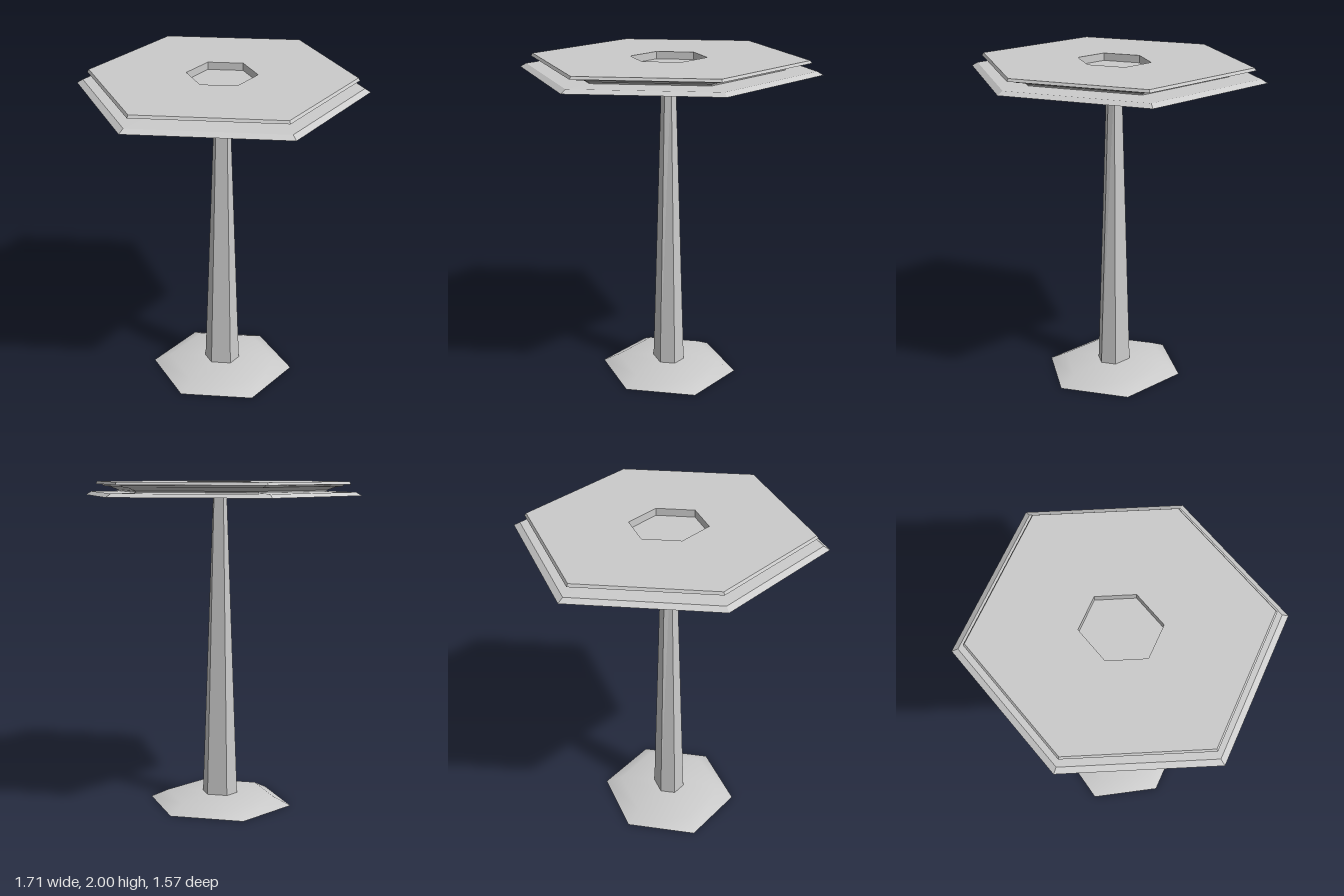
import * as THREE from 'three';

// Six-sided loft, bottom to top. Ring = [tip x, flat-edge corner x, flat-edge z, y]
function hexLoft(name, rings, flatShading) {
  const positions = [];
  const index = [];
  for (const [a, b, d, y] of rings) {
    positions.push(a, y, 0, b, y, -d, -b, y, -d, -a, y, 0, -b, y, d, b, y, d);
  }
  for (let r = 0; r < rings.length - 1; r++) {
    for (let i = 0; i < 6; i++) {
      const p = r * 6 + i;
      const q = r * 6 + ((i + 1) % 6);
      index.push(p, q, q + 6, p, q + 6, p + 6);
    }
  }
  const geometry = new THREE.BufferGeometry();
  geometry.setAttribute('position', new THREE.Float32BufferAttribute(positions, 3));
  geometry.setIndex(index);
  geometry.computeVertexNormals();
  const material = new THREE.MeshStandardMaterial({ color: 0xcccccc, flatShading, side: THREE.DoubleSide });
  const mesh = new THREE.Mesh(geometry, material);
  mesh.name = name;
  return mesh;
}

// Ring with the tabletop's proportions
const topRing = (a, y) => [a, a * 0.537, a * 0.918, y];

export function createModel() {
  const group = new THREE.Group();
  group.name = 'hexagonalTable';

  // Thin dished foot, open underneath
  group.add(hexLoft('base', [
    [0.45, 0.225, 0.365, 0],
    [0.34, 0.17, 0.275, 0.052],
    [0.11, 0.062, 0.08, 0.062],
  ], false));

  // Tapered hollow column
  group.add(hexLoft('column', [
    [0.11, 0.062, 0.08, 0.062],
    [0.043, 0.029, 0.034, 1.915],
  ], true));

  // Stepped tabletop with a recess in the middle
  group.add(hexLoft('tabletop', [
    topRing(0, 1.91),
    topRing(0.855, 1.917), // lower slab
    topRing(0.82, 1.938),
    topRing(0.645, 1.94), // groove
    topRing(0.65, 1.95),
    topRing(0.70, 1.968),
    topRing(0.74, 1.972), // small step under the upper slab
    topRing(0.75, 1.982),
    topRing(0.79, 1.984), // upper slab
    topRing(0.78, 2),
    [0.208, 0.105, 0.203, 2], // recess
    [0.208, 0.105, 0.203, 1.955],
    [0, 0, 0, 1.955],
  ], true));

  return group;
}
